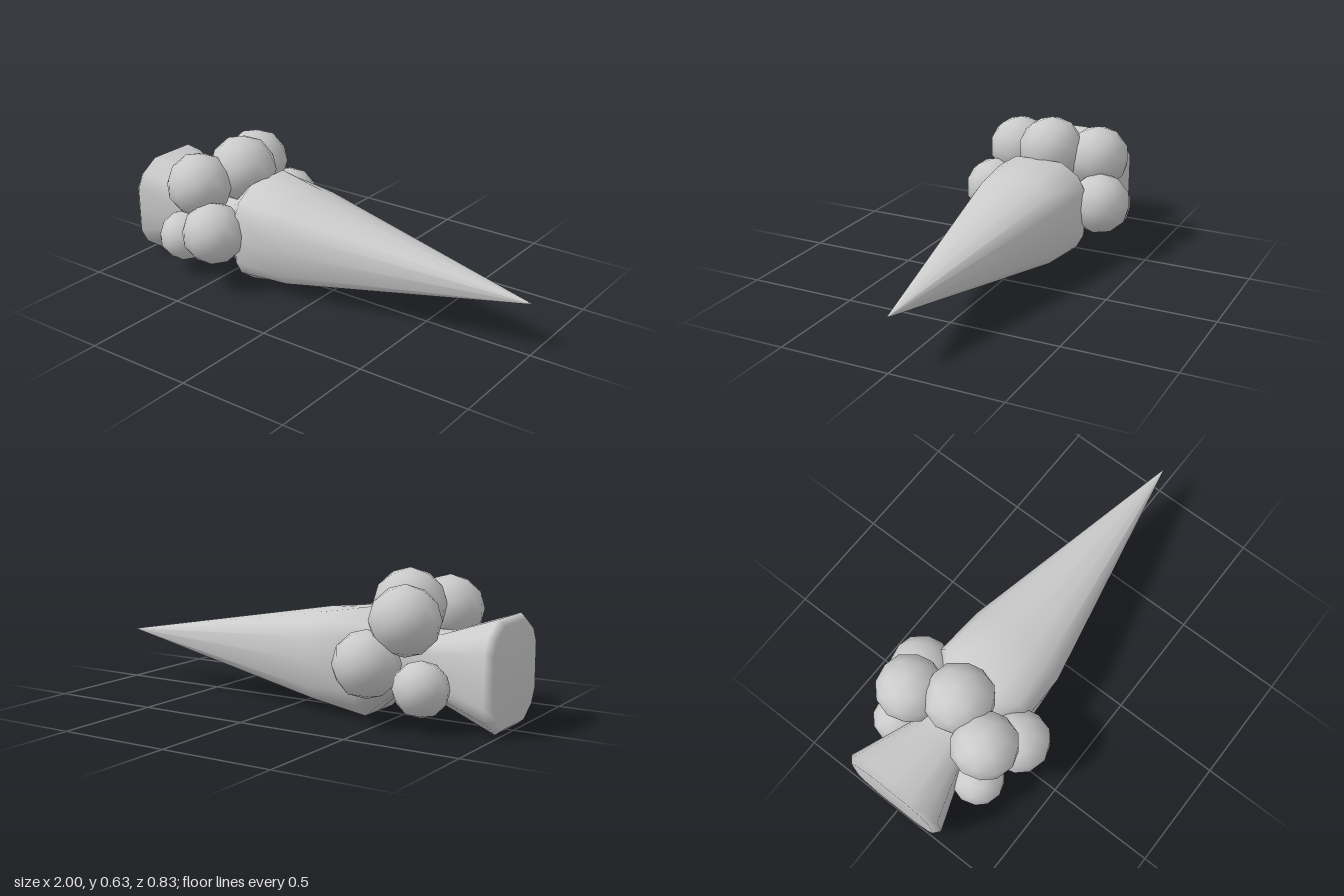
import * as THREE from 'three';

const AXIS_Y = 0.235;

// Half cross-sections as [z, y] offsets from the axis, bottom to top
const SQUARED = [[0, -0.235], [0.115, -0.235], [0.2, -0.175], [0.235, -0.11], [0.235, 0],
  [0.235, 0.11], [0.2, 0.175], [0.115, 0.23], [0, 0.23]];
const CONE_BASE = [[0, -0.233], [0.09, -0.208], [0.165, -0.178], [0.215, -0.12], [0.235, 0],
  [0.22, 0.1], [0.18, 0.157], [0.1, 0.19], [0, 0.205]];

// Mirror a half section in z to make a closed ring
function ring(half) {
  const other = half.slice(1, -1).reverse().map(([z, y]) => [-z, y]);
  return [...half, ...other];
}

// Skin a row of stations [x, scale, section] along x
function loft(stations) {
  const n = ring(SQUARED).length;
  const positions = [];
  const index = [];
  stations.forEach(([x, s, half], i) => {
    for (const [z, y] of ring(half)) positions.push(x, AXIS_Y + y * s, z * s);
    if (i === stations.length - 1) return;
    for (let j = 0; j < n; j++) {
      const a = i * n + j, b = i * n + (j + 1) % n;
      index.push(a, a + n, b, b, a + n, b + n);
    }
  });
  const g = new THREE.BufferGeometry();
  g.setAttribute('position', new THREE.Float32BufferAttribute(positions, 3));
  g.setIndex(index);
  g.computeVertexNormals();
  return g;
}

export function createModel() {
  const group = new THREE.Group();
  const material = new THREE.MeshStandardMaterial({ color: 0xcccccc });

  const add = (name, geometry, x = 0, y = 0, z = 0) => {
    const mesh = new THREE.Mesh(geometry, material);
    mesh.name = name;
    mesh.position.set(x, y, z);
    group.add(mesh);
  };

  // Flared end, narrow neck, shoulder and long pointed cone
  add('body', loft([
    [-1, 0, SQUARED],
    [-1, 0.9, SQUARED],
    [-0.97, 1, SQUARED],
    [-0.7, 0.6, SQUARED],
    [-0.48, 0.6, SQUARED],
    [-0.375, 1, SQUARED],
    [-0.14, 1, CONE_BASE],
    [1, 0, CONE_BASE],
  ]));

  // Ring of balls around the neck, open underneath
  const ball = (r) => new THREE.IcosahedronGeometry(r, 1);
  add('topBall', ball(0.157), -0.52, 0.477, 0);
  const pairs = [
    ['upperBall', 0.15, -0.607, 0.44, 0.203],
    ['sideBall', 0.144, -0.47, 0.26, 0.273],
    ['lowerBall', 0.118, -0.695, 0.173, 0.225],
  ];
  for (const [name, r, x, y, z] of pairs) {
    add(name + 'Front', ball(r), x, y, z);
    add(name + 'Back', ball(r), x, y, -z);
  }

  return group;
}
